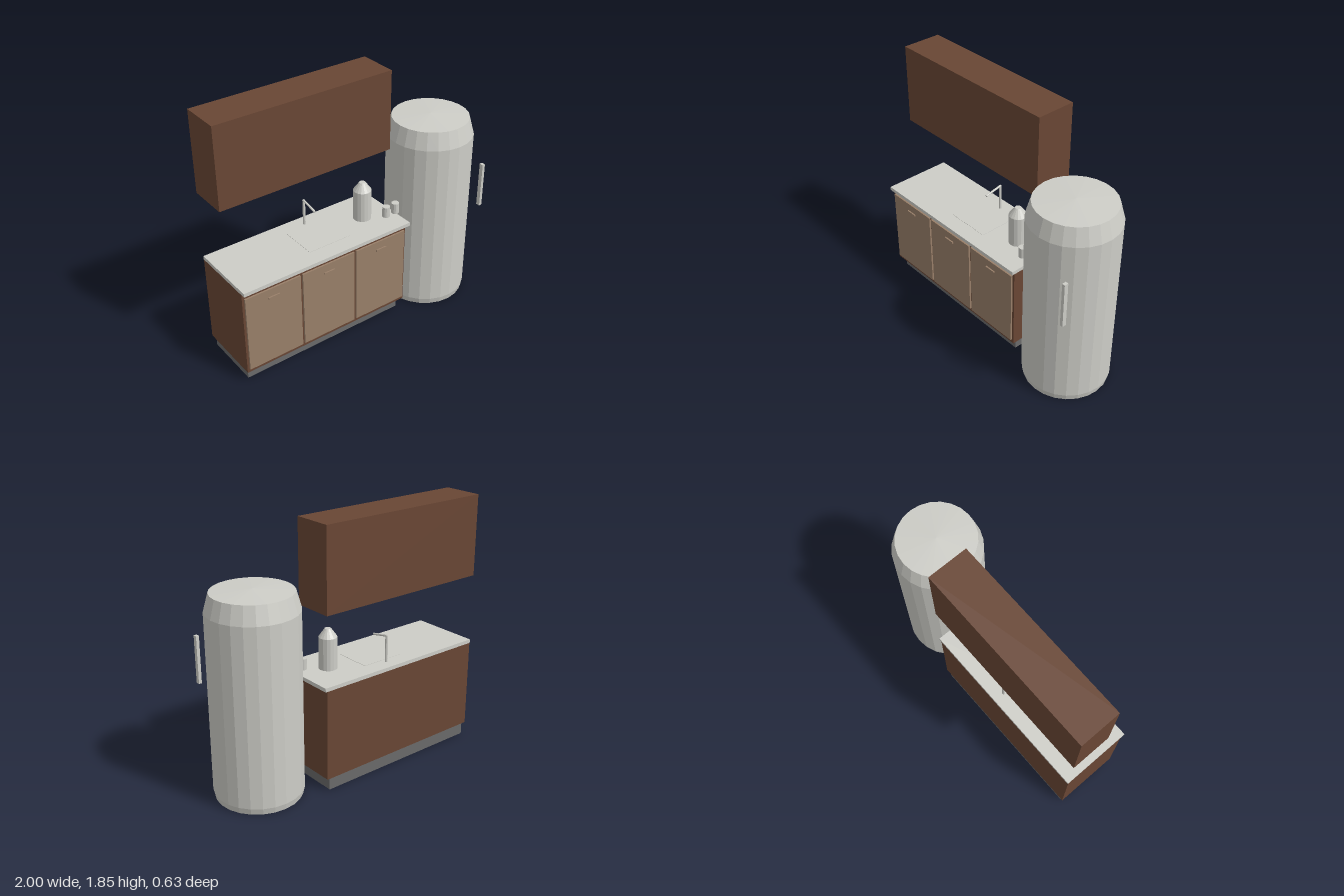
import * as THREE from 'three';

const material = (name, color, extra = {}) => {
  const m = new THREE.MeshStandardMaterial({ color, ...extra });
  m.name = name;
  return m;
};

export function createModel() {
  const group = new THREE.Group();
  const wood = material('dark wood', 0x694634);
  const panel = material('light wood', 0x997f69);
  const metal = material('pale metal', 0xcdcdc7, { flatShading: true });
  const plinthGrey = material('plinth grey', 0x6a6a6a);

  const add = (name, geometry, mat) => {
    const mesh = new THREE.Mesh(geometry, mat);
    mesh.name = name;
    group.add(mesh);
    return mesh;
  };
  // Box given by its minimum and maximum on each axis
  const box = (name, mat, [x0, x1], [y0, y1], [z0, z1]) => {
    const mesh = add(name, new THREE.BoxGeometry(x1 - x0, y1 - y0, z1 - z0), mat);
    mesh.position.set((x0 + x1) / 2, (y0 + y1) / 2, (z0 + z1) / 2);
    return mesh;
  };
  // Turned part from [radius, height] pairs
  const turned = (name, profile, sides, x, y, z) => {
    const points = profile.map(([r, h]) => new THREE.Vector2(r, h));
    const mesh = add(name, new THREE.LatheGeometry(points, sides), metal);
    mesh.position.set(x, y, z);
    return mesh;
  };

  // Base unit
  box('plinth', plinthGrey, [-0.975, 0.315], [0, 0.09], [-0.305, 0.12]);
  box('baseCabinet', wood, [-1, 0.34], [0.09, 0.745], [-0.315, 0.165]);
  box('countertop', metal, [-1, 0.355], [0.745, 0.772], [-0.318, 0.198]);

  // Three doors with bar pulls
  for (let i = 0; i < 3; i++) {
    const x = -0.772 + i * 0.442;
    box('door', panel, [x - 0.212, x + 0.212], [0.12, 0.705], [0.16, 0.178]);
    box('doorPull', panel, [x - 0.042, x + 0.042], [0.634, 0.647], [0.176, 0.188]);
  }

  // Wall cabinet
  box('wallCabinet', wood, [-1, 0.34], [1.265, 1.85], [-0.315, -0.025]);

  // Sink plate and tap
  box('sink', metal, [-0.415, -0.08], [0.768, 0.774], [-0.2, 0.075]);
  const post = add('tapPost', new THREE.CylinderGeometry(0.01, 0.01, 0.2, 10), metal);
  post.position.set(-0.245, 0.868, -0.235);
  const spout = add('tapSpout', new THREE.CylinderGeometry(0.008, 0.008, 0.14, 10), metal);
  spout.position.set(-0.245, 0.952, -0.17);
  spout.rotation.x = Math.PI / 2 + 0.2;

  // Canister and cups on the counter
  turned('canister', [[0, 0], [0.065, 0], [0.065, 0.228], [0.022, 0.288], [0, 0.288]],
    16, 0.13, 0.772, -0.06);
  for (const x of [0.275, 0.358]) {
    turned('cup', [[0, 0], [0.028, 0], [0.028, 0.08], [0, 0.08]], 12, x, 0.772, 0.03);
  }

  // Round refrigerator with upright handle
  turned('refrigerator', [[0, 0], [0.3, 0], [0.31, 0.045], [0.31, 1.305], [0.275, 1.43], [0, 1.445]],
    24, 0.689, 0, -0.01);
  box('refrigeratorHandle', metal, [0.914, 0.936], [0.76, 1.095], [0.285, 0.315]);

  return group;
}
